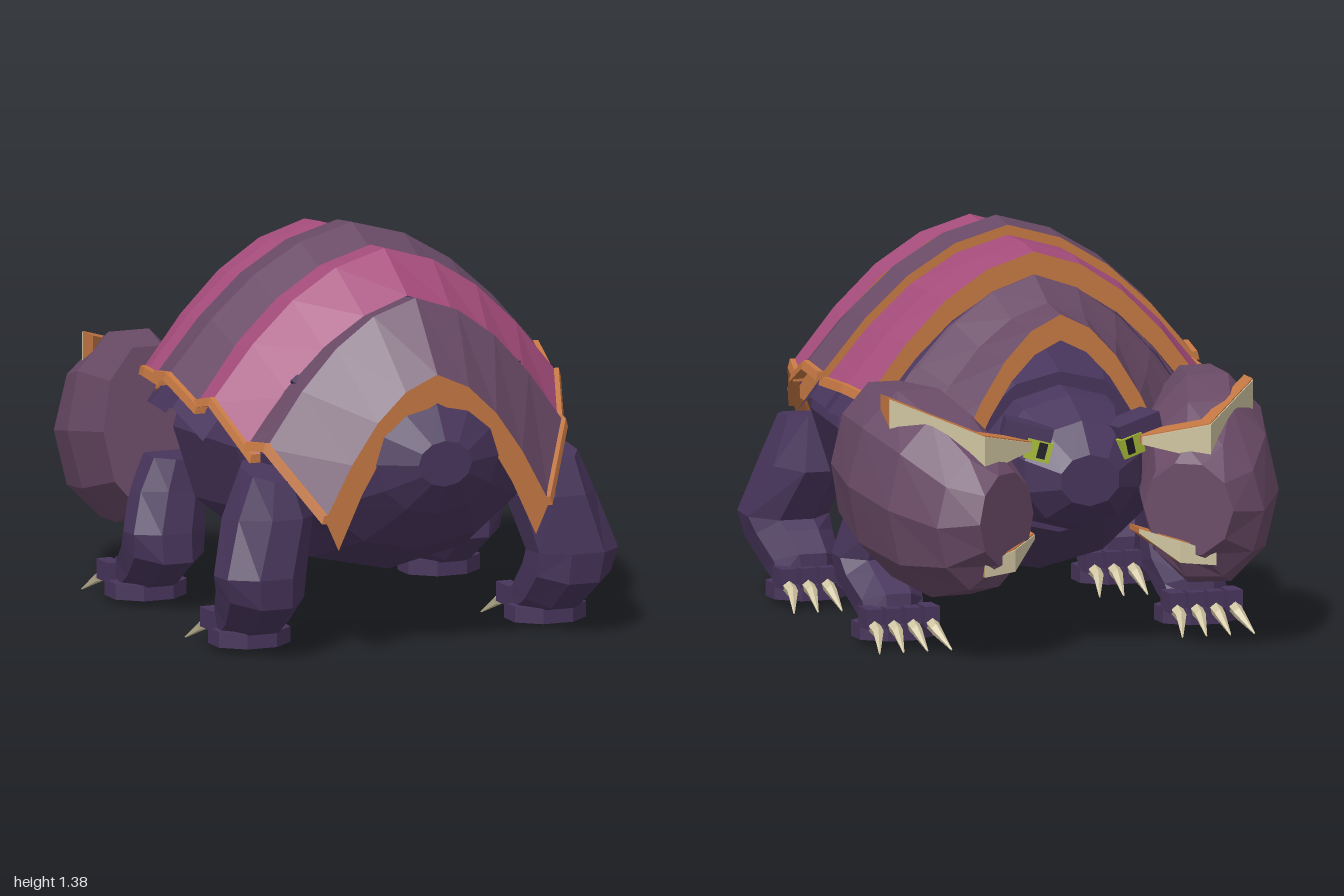
import * as THREE from 'three';

const mat = (name, color, side = THREE.FrontSide) => {
  const m = new THREE.MeshStandardMaterial({ color, flatShading: true, side });
  m.name = name;
  return m;
};

// Skin between equal-length cross-sections; closed solids are turned to face outward.
function loft(name, rings, material, open = false) {
  const n = rings[0].length, tris = [];
  for (let i = 0; i < rings.length - 1; i++) {
    for (let j = 0; j < (open ? n - 1 : n); j++) {
      const k = (j + 1) % n;
      const [a, b, c, d] = [rings[i][j], rings[i][k], rings[i + 1][k], rings[i + 1][j]];
      tris.push([a, b, c], [a, c, d]);
    }
  }
  if (!open) {
    const first = rings[0], last = rings[rings.length - 1];
    for (let j = 1; j < n - 1; j++) {
      tris.push([first[0], first[j + 1], first[j]], [last[0], last[j], last[j + 1]]);
    }
    const v = (p) => new THREE.Vector3(...p);
    const volume = tris.reduce((s, [a, b, c]) => s + v(a).dot(v(b).cross(v(c))), 0);
    if (volume < 0) tris.forEach((t) => t.reverse());
  }
  const g = new THREE.BufferGeometry();
  g.setAttribute('position', new THREE.Float32BufferAttribute(tris.flat(2), 3));
  g.computeVertexNormals();
  const mesh = new THREE.Mesh(g, material);
  mesh.name = name;
  return mesh;
}

// Ellipse cross-section facing z, with a corner at top and bottom or a flat there.
const oval = (sides, z, cx, cy, rx, ry, flatTop = false) =>
  Array.from({ length: sides }, (_, i) => {
    const a = ((i + (flatTop ? 0.5 : 0)) / sides) * Math.PI * 2;
    return [cx + rx * Math.sin(a), cy + ry * Math.cos(a), z];
  });

// Ellipse cross-section of a limb, lying flat with a slope along z.
const limbRing = (s, x, y, z, rx, rz, slope) =>
  Array.from({ length: 8 }, (_, i) => {
    const a = ((i + 0.5) / 8) * Math.PI * 2;
    return [s * (x + rx * Math.cos(a)), y + slope * rz * Math.sin(a), z + rz * Math.sin(a)];
  });

// Pointed shell arch, from left foot over the ridge to right foot.
const PROFILE = [[1, 0], [0.76, 0.39], [0.53, 0.68], [0.28, 0.89], [0, 1]];
const arch = ([z, top, foot, w]) => {
  const half = PROFILE.map(([u, v]) => [u * w, foot + v * (top - foot), z]);
  return [...half, ...half.slice(0, 4).reverse().map(([x, y, q]) => [-x, y, q])];
};

export function createModel() {
  const model = new THREE.Group();
  model.name = 'armouredBeast';
  const skin = mat('dark purple skin', 0x48355c);
  const skirtSkin = mat('dark purple underplate', 0x48355c, THREE.DoubleSide);
  const plum = mat('plum shell', 0x694a66, THREE.DoubleSide);
  const pink = mat('pink shell', 0xa54c7b, THREE.DoubleSide);
  const orange = mat('orange trim', 0xc67843, THREE.DoubleSide);
  const bone = mat('bone', 0xcfc4a0);
  const lime = mat('lime eye', 0xa4b837);
  const black = mat('dark pupil', 0x1c1824);
  const add = (...meshes) => model.add(...meshes);
  const box = (name, material, size, pos, rot = [0, 0, 0]) => {
    const m = new THREE.Mesh(new THREE.BoxGeometry(...size), material);
    m.name = name;
    m.position.set(...pos);
    m.rotation.set(...rot);
    add(m);
  };

  // Rounded trunk and blunt head
  add(loft('body', [
    [1, 0.68, 0.1, 0.08], [0.93, 0.68, 0.23, 0.19], [0.78, 0.67, 0.42, 0.33], [0.5, 0.69, 0.57, 0.47],
    [0.07, 0.69, 0.62, 0.51], [-0.28, 0.62, 0.46, 0.4], [-0.5, 0.66, 0.32, 0.28],
  ].map(([z, cy, rx, ry]) => oval(12, z, 0, cy, rx, ry)), skin));
  add(loft('head', [
    [-0.42, 0.66, 0.29, 0.25], [-0.6, 0.64, 0.28, 0.235], [-0.74, 0.62, 0.22, 0.185], [-0.83, 0.61, 0.11, 0.09],
  ].map(([z, cy, rx, ry]) => oval(10, z, 0, cy, rx, ry)), skin));

  // Shell bands: rows are z, ridge height, foot height, half width
  const bands = [
    ['rearBand', plum, [[0.93, 0.98, 0.5, 0.42], [0.74, 1.215, 0.73, 0.56], [0.64, 1.2, 0.72, 0.59]]],
    ['rearPinkBand', pink, [[0.67, 1.21, 0.68, 0.58], [0.47, 1.34, 0.85, 0.65], [0.35, 1.33, 0.82, 0.67]]],
    ['middleBand', plum, [[0.4, 1.29, 0.81, 0.67], [0.19, 1.38, 0.89, 0.695], [0.06, 1.365, 0.87, 0.685]]],
    ['frontPinkBand', pink, [[0.08, 1.33, 0.85, 0.67], [-0.1, 1.33, 0.85, 0.65], [-0.225, 1.315, 0.83, 0.61]]],
    ['neckBand', plum, [[-0.15, 1.25, 0.79, 0.58], [-0.23, 1.235, 0.75, 0.55], [-0.37, 1.16, 0.71, 0.47], [-0.51, 1.14, 0.66, 0.38]]],
  ];
  // Flat orange face closing the end of a band; it drops a little below the foot
  const rim = (name, [z, top, foot, w], t, drop) =>
    loft(name, [arch([z, top, foot, w]), arch([z, top - t, foot - drop, w - t * 0.5])], orange, true);
  for (const [name, material, rows] of bands) {
    add(loft(name, rows.map(arch), material, true));
    add(rim(name + 'FrontRim', rows[rows.length - 1], 0.09, 0.03));
    for (const s of [1, -1]) {
      add(loft(name + 'LowerTrim', rows.map(([z, , y, w]) => [
        [s * (w + 0.004), y + 0.018, z], [s * (w + 0.012), y - 0.012, z],
        [s * (w - 0.03), y - 0.012, z], [s * (w - 0.03), y + 0.018, z],
      ]), orange));
    }
  }
  add(rim('rearRim', bands[0][2][0], 0.1, 0.11));

  // Dark plates peeking out below the middle bands
  for (const [name, , rows] of bands.slice(2, 4)) {
    add(loft(name + 'Underplate', rows.map(([z, t, y, w]) => arch([z, t - 0.08, y - 0.11, w - 0.02])), skirtSkin, true));
  }

  for (const s of [1, -1]) {
    const side = s > 0 ? 'left' : 'right';

    // Heavy domed shield; lean and skew tilt each ring, ending in a face turned to the head
    add(loft(side + 'Shield', [
      [-0.245, 0.565, 0.62, 0.18, 0.295, -0.12, 0], [-0.5, 0.525, 0.58, 0.245, 0.345, -0.1, 0],
      [-0.72, 0.47, 0.53, 0.24, 0.33, 0, -0.15], [-0.875, 0.4, 0.49, 0.195, 0.24, 0, -0.35],
      [-0.91, 0.33, 0.505, 0.13, 0.165, 0, -0.75],
    ].map(([z, cx, cy, rx, ry, lean, skew]) => oval(10, z, cx, cy, rx, ry, true)
      .map(([x, y]) => [s * x, y, z + lean * (y - cy) + skew * (x - cx)])), plum));

    // Chevron ridges on the shield: orange slab with a bone front face
    const chevron = (name, points, depth) => {
      add(loft(name, points.map(([x, y, z, h]) => [
        [s * x, y, z], [s * x, y - h, z], [s * x, y - h, z + depth], [s * x, y, z + depth],
      ]), orange));
      add(loft(name + 'Edge', points.map(([x, y, z, h]) => [
        [s * x, y - 0.004, z - 0.008], [s * x, y - h, z - 0.008], [s * x, y - h, z], [s * x, y - 0.004, z],
      ]), bone));
    };
    chevron(side + 'UpperRidge', [[0.2, 0.75, -0.79, 0.03], [0.41, 0.8, -0.905, 0.13], [0.66, 0.9, -0.62, 0.11]], 0.09);
    chevron(side + 'LowerTooth', [[0.19, 0.43, -0.79, 0.02], [0.3, 0.4, -0.905, 0.08], [0.42, 0.36, -0.935, 0.05]], 0.1);

    // Brow, eye and pupil
    box(side + 'Brow', skin, [0.17, 0.06, 0.12], [s * 0.19, 0.775, -0.71], [0, s * -0.25, s * 0.25]);
    box(side + 'Eye', lime, [0.09, 0.07, 0.05], [s * 0.165, 0.715, -0.76], [0, s * -0.3, s * 0.25]);
    box(side + 'Pupil', black, [0.03, 0.055, 0.008], [s * 0.16, 0.715, -0.787], [0, s * -0.3, s * 0.25]);

    // Small spur on the rear shell
    box(side + 'Spur', skin, [0.04, 0.04, 0.04], [s * 0.4, 0.93, 0.655], [0.4, 0.5, 0.3]);

    // Bent legs: rows are x, y, z, width, depth, slope
    const legs = {
      Rear: [[0.53, 0.64, 0.68, 0.085, 0.15, -0.1], [0.53, 0.48, 0.68, 0.15, 0.195, 0.1], [0.585, 0.29, 0.745, 0.16, 0.155, 0.05],
        [0.575, 0.22, 0.72, 0.15, 0.165, -0.2], [0.56, 0.13, 0.62, 0.13, 0.13, -0.4], [0.555, 0.08, 0.56, 0.12, 0.07, -0.5]],
      Front: [[0.51, 0.54, -0.18, 0.1, 0.12, 0], [0.53, 0.42, -0.18, 0.135, 0.135, 0.1], [0.56, 0.28, -0.145, 0.145, 0.12, 0.05],
        [0.555, 0.21, -0.17, 0.14, 0.15, -0.2], [0.55, 0.13, -0.28, 0.12, 0.125, -0.4], [0.55, 0.08, -0.34, 0.11, 0.07, -0.5]],
    };
    for (const [pos, rows] of Object.entries(legs)) {
      const fz = pos === 'Rear' ? 0.58 : -0.33, fx = rows[5][0];
      add(loft(side + pos + 'Leg', rows.map((r) => limbRing(s, ...r)), skin));
      add(loft(side + pos + 'Foot', [0.02, 0.075].map((y) => limbRing(s, fx, y, fz, 0.145, 0.125, 0)), skin));
      for (let i = 0; i < 4; i++) {
        const x = s * (fx + (i - 1.5) * 0.07), tip = s * (fx + (i - 1.5) * 0.087);
        box(side + pos + 'Toe', skin, [0.055, 0.07, 0.1], [x, 0.1, fz - 0.07]);
        add(loft(side + pos + 'Claw', [
          oval(5, fz - 0.08, x, 0.085, 0.026, 0.026), oval(5, fz - 0.16, x, 0.06, 0.02, 0.02), oval(5, fz - 0.25, tip, 0.003, 0.003, 0.003),
        ], bone));
      }
    }
  }
  return model;
}
